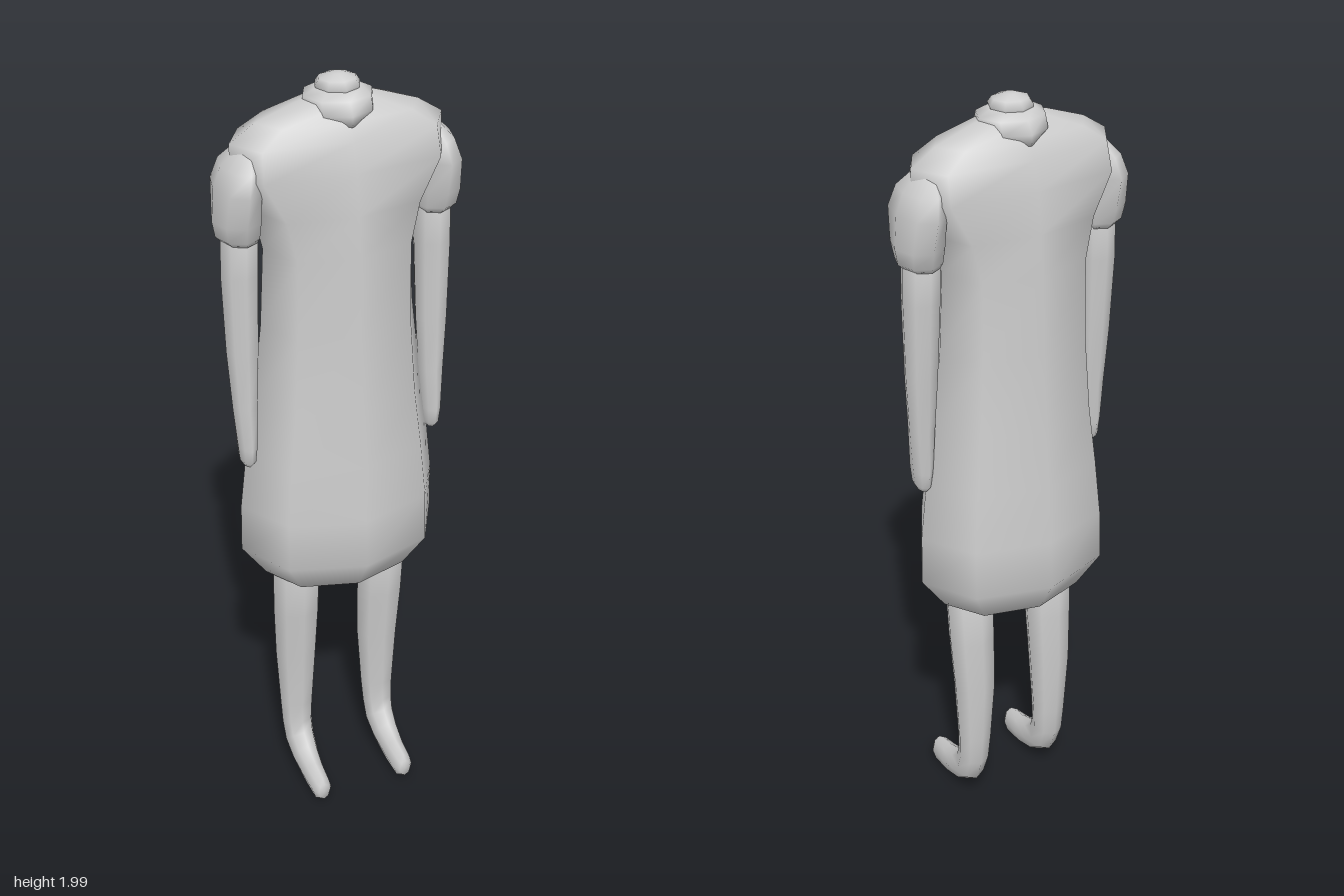
import * as THREE from 'three';

const grey = new THREE.MeshStandardMaterial({ color: 0xcccccc });
grey.name = 'grey';

// Loft through rings listed from bottom to top: [x, y, z, radiusX, radiusZ, tilt, boxiness]
function loft(name, rings, side = 1, sides = 8) {
  const pos = [], index = [];
  const soft = (v, e) => (Math.abs(v) < 1e-6 ? 0 : Math.sign(v) * Math.abs(v) ** e);
  for (const [x, y, z, rx, rz, tilt = 0, e = 1] of rings) {
    for (let j = 0; j < sides; j++) {
      const a = (j / sides) * Math.PI * 2;
      const u = rx * soft(Math.cos(a), e), v = rz * soft(Math.sin(a), e);
      pos.push(side * x + u, y + v * Math.sin(tilt), z + v * Math.cos(tilt));
    }
  }
  const at = (i, j) => i * sides + (j % sides);
  for (let i = 0; i < rings.length - 1; i++) {
    for (let j = 0; j < sides; j++) {
      index.push(at(i, j), at(i + 1, j), at(i, j + 1));
      index.push(at(i, j + 1), at(i + 1, j), at(i + 1, j + 1));
    }
  }
  // End caps
  const last = rings.length - 1;
  for (const [ring, flip] of [[0, false], [last, true]]) {
    const c = pos.length / 3;
    pos.push(side * rings[ring][0], rings[ring][1], rings[ring][2]);
    for (let j = 0; j < sides; j++) {
      const p = at(ring, j), q = at(ring, j + 1);
      index.push(c, flip ? q : p, flip ? p : q);
    }
  }
  const geo = new THREE.BufferGeometry();
  geo.setAttribute('position', new THREE.Float32BufferAttribute(pos, 3));
  geo.setIndex(index);
  geo.computeVertexNormals();
  const mesh = new THREE.Mesh(geo, grey);
  mesh.name = name;
  return mesh;
}

export function createModel() {
  const model = new THREE.Group();
  model.name = 'figure';

  // Dress: closed hem, full skirt, narrow waist and boxy shoulders
  model.add(loft('dress', [
    [0, 0.65, 0, 0.05, 0.04],
    [0, 0.68, 0, 0.2, 0.14],
    [0, 0.77, 0, 0.264, 0.195],
    [0, 0.9, 0, 0.262, 0.188],
    [0, 1.05, 0, 0.245, 0.175],
    [0, 1.2, 0, 0.222, 0.163],
    [0, 1.4, 0, 0.198, 0.147, 0, 0.9],
    [0, 1.6, 0, 0.188, 0.14, 0, 0.8],
    [0, 1.7, 0, 0.21, 0.13, 0, 0.7],
    [0, 1.8, 0, 0.262, 0.118, 0, 0.55],
    [0, 1.87, 0, 0.262, 0.098, 0, 0.6],
    [0, 1.91, 0, 0.2, 0.08, 0, 0.7],
    [0, 1.945, 0, 0.1, 0.055],
    [0, 1.96, 0, 0.04, 0.03],
  ]));

  // Collar and neck stub
  model.add(loft('collar', [
    [0, 1.9, 0, 0.06, 0.088],
    [0, 1.925, 0, 0.085, 0.09],
    [0, 1.955, 0, 0.085, 0.075],
    [0, 1.97, 0, 0.055, 0.05],
  ]));
  model.add(loft('neck', [
    [0, 1.95, 0, 0.045, 0.045],
    [0, 1.975, 0, 0.055, 0.054],
    [0, 1.99, 0, 0.045, 0.042],
    [0, 2.0, 0, 0.015, 0.015],
  ]));

  for (const [side, label] of [[1, 'left'], [-1, 'right']]) {
    // Puffed sleeve
    model.add(loft(label + 'Sleeve', [
      [0.243, 1.635, 0, 0.042, 0.052],
      [0.248, 1.65, 0, 0.054, 0.064],
      [0.25, 1.69, 0, 0.059, 0.075],
      [0.248, 1.77, 0, 0.055, 0.094],
      [0.238, 1.82, 0, 0.046, 0.08],
      [0.225, 1.855, 0, 0.025, 0.045],
    ], side));

    // Arm ending in a flat hand
    model.add(loft(label + 'Arm', [
      [0.247, 1.034, 0.017, 0.01, 0.02],
      [0.247, 1.05, 0.017, 0.019, 0.036],
      [0.247, 1.09, 0.017, 0.023, 0.041],
      [0.247, 1.2, 0.012, 0.032, 0.037],
      [0.247, 1.35, 0.006, 0.041, 0.042],
      [0.246, 1.55, 0, 0.047, 0.048],
      [0.243, 1.68, 0, 0.046, 0.05],
    ], side));

    // Leg with a small forward foot, listed from the toe up
    model.add(loft(label + 'Leg', [
      [0.12, 0.052, 0.195, 0.016, 0.026, 1.57],
      [0.12, 0.05, 0.18, 0.026, 0.039, 1.5],
      [0.12, 0.057, 0.12, 0.03, 0.043, 1.35],
      [0.12, 0.078, 0.06, 0.036, 0.045, 1.1],
      [0.12, 0.11, 0.018, 0.04, 0.047, 0.8],
      [0.12, 0.16, 0, 0.042, 0.043, 0.3],
      [0.119, 0.23, -0.005, 0.046, 0.044],
      [0.118, 0.4, -0.006, 0.057, 0.053],
      [0.119, 0.55, 0.004, 0.063, 0.058],
      [0.12, 0.72, 0.014, 0.065, 0.06],
    ], side));
  }
  return model;
}
